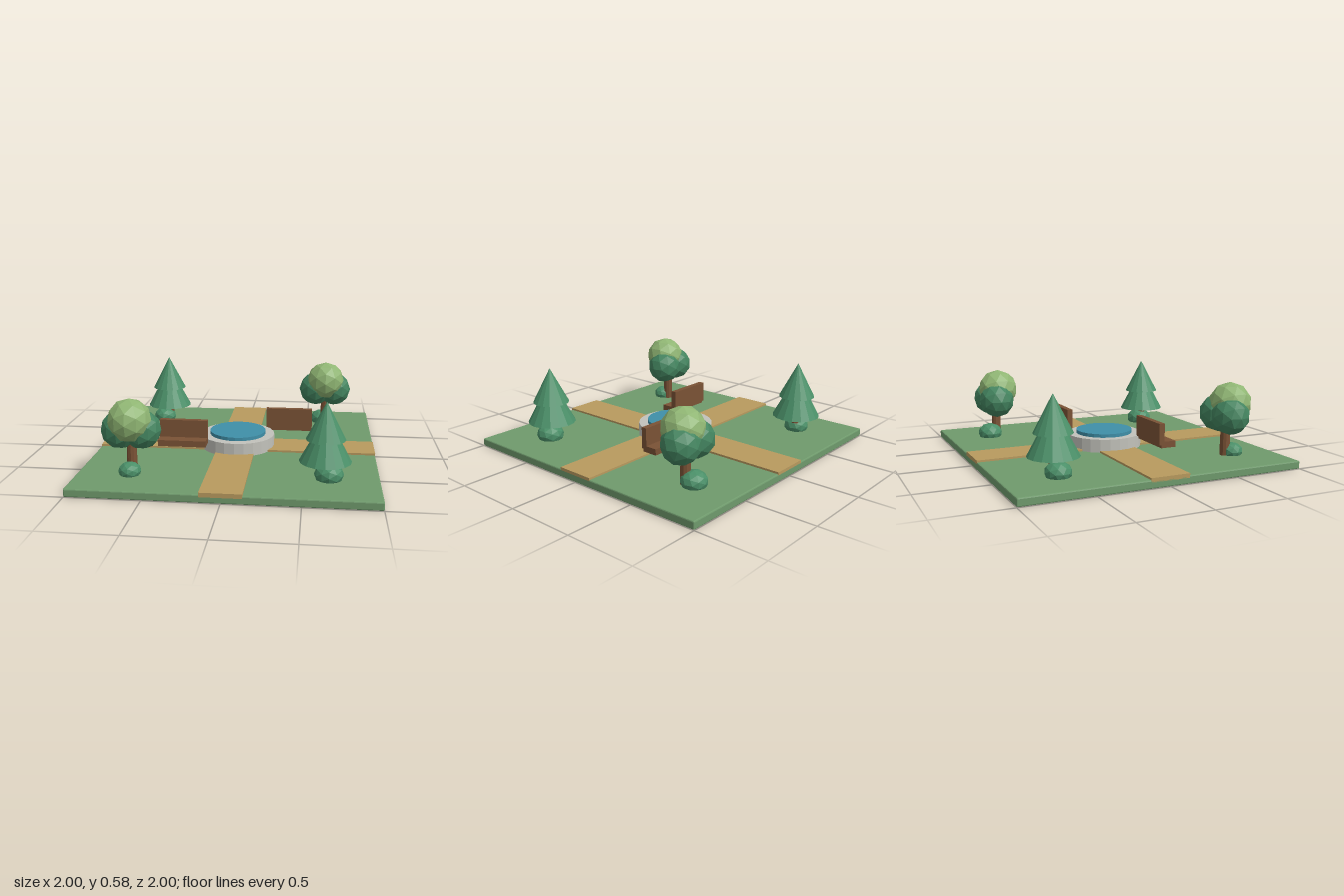
import * as THREE from 'three';
import { RoundedBoxGeometry } from 'three/addons/geometries/RoundedBoxGeometry.js';

const mat = (color) => new THREE.MeshStandardMaterial({ color, flatShading: true });
const M = {
  grass: mat(0x6f9a6c), path: mat(0xb89a5e), stone: mat(0xc2c2bb), water: mat(0x3f8fa8),
  wood: mat(0x7a5235), pine: mat(0x4a8f68), leaf: mat(0x43845f), leafLight: mat(0x8fb573),
};

function add(parent, name, geometry, material, x, y, z) {
  const mesh = new THREE.Mesh(geometry, material);
  mesh.name = name;
  mesh.position.set(x, y, z);
  parent.add(mesh);
  return mesh;
}

function group(parent, name, x = 0, z = 0) {
  const g = new THREE.Group();
  g.name = name;
  g.position.set(x, 0, z);
  parent.add(g);
  return g;
}

// Faceted ball of foliage
function blob(parent, name, r, material, x, y, z, squash = 1) {
  const mesh = add(parent, name, new THREE.IcosahedronGeometry(r, 1), material, x, y, z);
  mesh.scale.y = squash;
}

function trunk(parent, top) {
  const h = top - 0.004;
  add(parent, 'trunk', new THREE.CylinderGeometry(0.03, 0.037, h, 10), M.wood, 0, 0.004 + h / 2, 0);
}

// Two stacked cones on a trunk
function pineTree(parent, x, z) {
  const g = group(parent, 'pineTree', x, z);
  trunk(g, 0.25);
  add(g, 'lowerBranches', new THREE.ConeGeometry(0.172, 0.32, 16), M.pine, 0, 0.34, 0);
  add(g, 'upperBranches', new THREE.ConeGeometry(0.13, 0.25, 16), M.pine, 0, 0.453, 0);
}

// Two dark side clumps with a lighter crown toward the front
function leafyTree(parent, x, z, crownZ) {
  const g = group(parent, 'leafyTree', x, z);
  trunk(g, 0.36);
  blob(g, 'leftFoliage', 0.132, M.leaf, 0.068, 0.345, -0.018);
  blob(g, 'rightFoliage', 0.132, M.leaf, -0.075, 0.345, -0.012);
  blob(g, 'crown', 0.148, M.leafLight, 0, 0.42, crownZ);
}

// Seat slab with an upright back on its inner edge
function bench(parent, x, z, turn) {
  const g = group(parent, 'bench', x, z);
  g.rotation.y = turn;
  add(g, 'seat', new THREE.BoxGeometry(0.344, 0.044, 0.11), M.wood, 0, 0.146, 0.007);
  add(g, 'backrest', new THREE.BoxGeometry(0.344, 0.15, 0.04), M.wood, 0, 0.22, -0.043);
}

export function createModel() {
  const park = new THREE.Group();
  park.name = 'park';

  // Lawn and crossing paths
  add(park, 'lawn', new RoundedBoxGeometry(2, 0.056, 2, 1, 0.008), M.grass, 0, 0.028, 0);
  add(park, 'crossPath', new THREE.BoxGeometry(2, 0.03, 0.275), M.path, 0, 0.055, 0);
  for (const s of [-1, 1]) {
    add(park, 'mainPath', new THREE.BoxGeometry(0.275, 0.03, 0.8625), M.path, 0, 0.055, s * 0.56875);
  }

  // Round pool
  const pool = group(park, 'pool');
  add(pool, 'basin', new THREE.CylinderGeometry(0.27, 0.27, 0.094, 24), M.stone, 0, 0.103, 0);
  add(pool, 'water', new THREE.CylinderGeometry(0.205, 0.205, 0.045, 24), M.water, 0, 0.1525, 0);

  // Benches facing away from the pool paths
  bench(park, -0.37, 0.232, 0);
  bench(park, 0.37, -0.232, Math.PI);

  // One tree in each quarter
  pineTree(park, 0.64, 0.64);
  pineTree(park, -0.64, -0.64);
  leafyTree(park, -0.64, 0.635, 0.032);
  leafyTree(park, 0.64, -0.635, 0.02);

  // Bushes at the foot of each tree: x, z, radius
  for (const [x, z, r] of [[-0.645, 0.69, 0.077], [0.667, 0.635, 0.098], [0.622, -0.69, 0.092], [-0.68, -0.625, 0.09]]) {
    blob(park, 'bush', r, M.pine, x, 0.05 + r * 0.4, z, 0.78);
  }
  return park;
}
